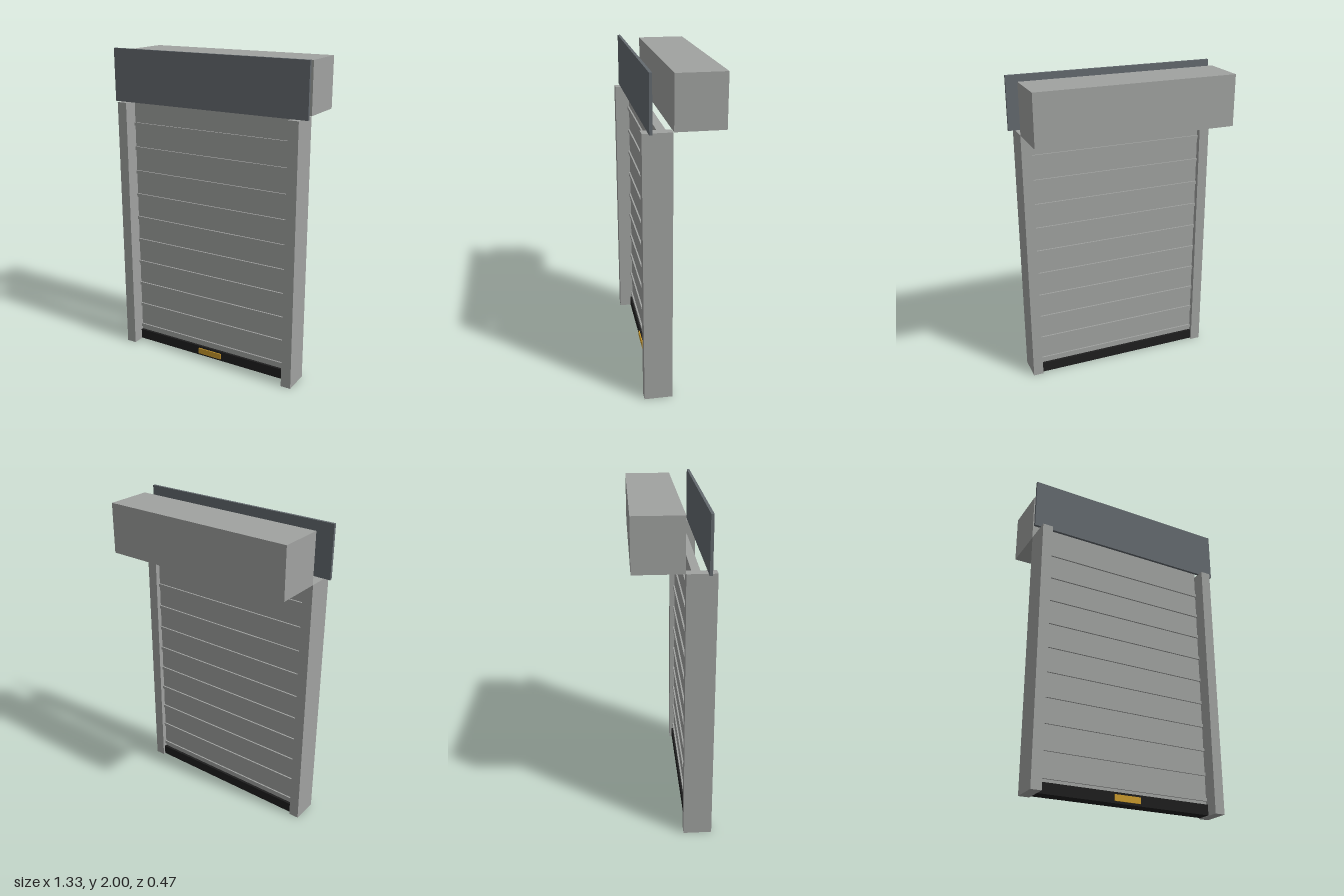
import * as THREE from 'three';

const material = (name, color) => {
  const m = new THREE.MeshStandardMaterial({ color });
  m.name = name;
  return m;
};

export function createModel() {
  const model = new THREE.Group();
  model.name = 'rollerShutter';

  const steel = material('galvanised grey', 0xa0a2a0);
  const slate = material('slate grey', 0x646a6f);
  const rubber = material('rubber black', 0x1e1e1e);
  const amber = material('amber yellow', 0xc8982c);

  // Box given by its minimum and maximum on each axis
  const box = (name, mat, [x0, x1], [y0, y1], [z0, z1], parent = model) => {
    const mesh = new THREE.Mesh(new THREE.BoxGeometry(x1 - x0, y1 - y0, z1 - z0), mat);
    mesh.position.set((x0 + x1) / 2, (y0 + y1) / 2, (z0 + z1) / 2);
    mesh.name = name;
    parent.add(mesh);
    return mesh;
  };

  const innerX = 0.56, outerX = 0.625, headY = 1.67;

  // Side guide rails
  box('leftGuideRail', steel, [innerX, outerX], [0, headY], [0.06, 0.232]);
  box('rightGuideRail', steel, [-outerX, -innerX], [0, headY], [0.06, 0.232]);

  // Housing for the roll, with the fascia board standing in front
  box('rollHousing', steel, [-outerX, outerX], [headY, 1.985], [-0.235, 0.057]);
  box('fasciaBoard', slate, [-0.665, 0.665], [headY, 2], [0.18, 0.197]);

  // Curtain with a raised rib at the foot of every slat
  const curtain = new THREE.Group();
  curtain.name = 'curtain';
  model.add(curtain);
  const slatCount = 10, firstY = 0.068, pitch = 0.158;
  box('curtainSheet', steel, [-innerX, innerX], [firstY, headY], [0.092, 0.142], curtain);
  for (let i = 0; i < slatCount; i++) {
    const y = 0.09 + i * pitch;
    box('slatRib', steel, [-innerX, innerX], [y, y + 0.021], [0.082, 0.152], curtain);
  }

  // Bottom bar and its warning label
  box('bottomBar', rubber, [-innerX, innerX], [0.003, firstY], [0.075, 0.158]);
  box('warningLabel', amber, [-0.085, 0.085], [0.016, 0.054], [0.158, 0.165]);

  return model;
}
